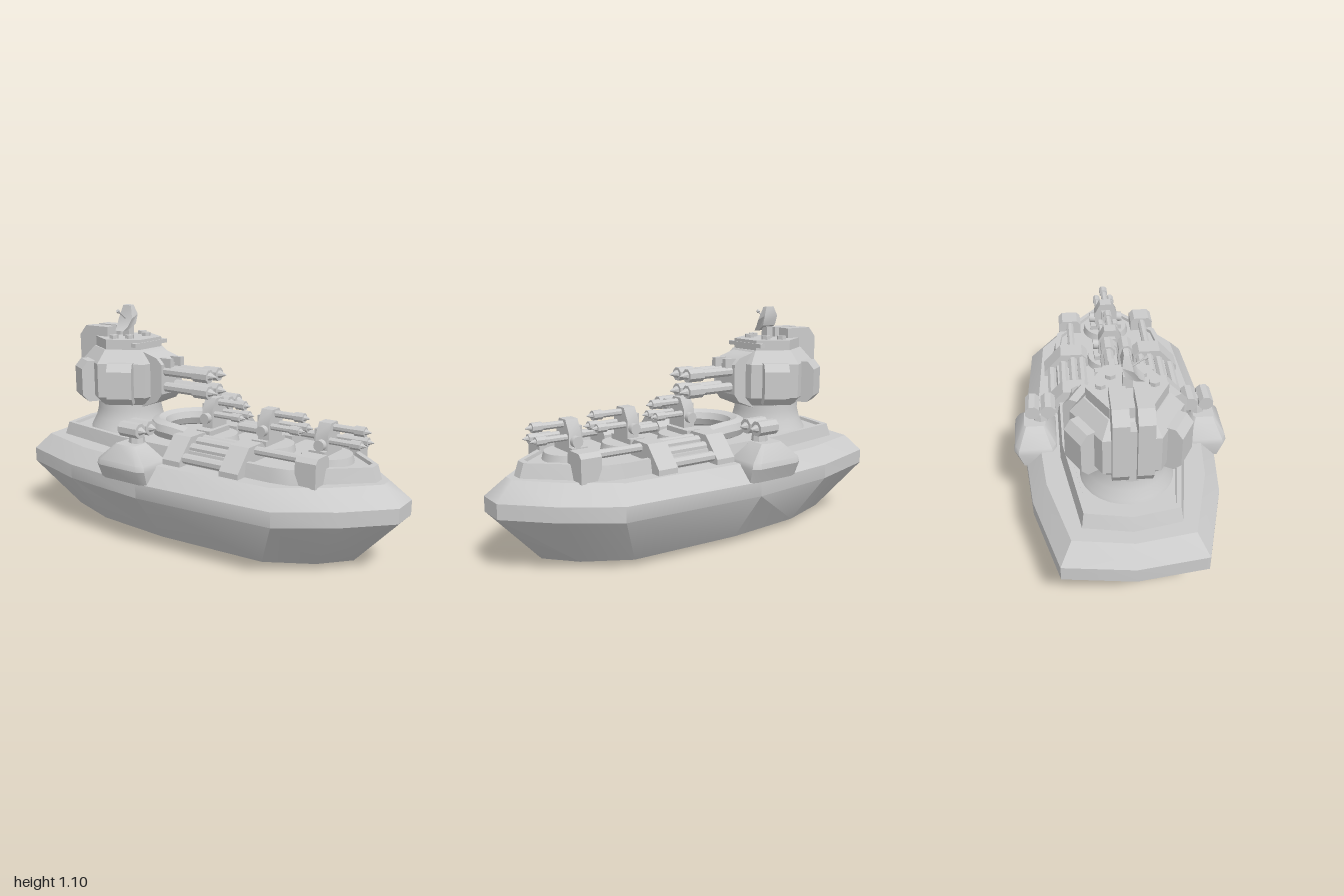
import * as THREE from 'three';
import { toCreasedNormals } from 'three/addons/utils/BufferGeometryUtils.js';

const mat = new THREE.MeshStandardMaterial({ color: 0xcccccc });

function add(parent, name, geo, x = 0, y = 0, z = 0) {
  const mesh = new THREE.Mesh(toCreasedNormals(geo, 0.6), mat);
  mesh.name = name;
  mesh.position.set(x, y, z);
  parent.add(mesh);
  return mesh;
}
const group = (parent, name, x = 0, y = 0, z = 0) => {
  const g = new THREE.Group();
  g.name = name;
  g.position.set(x, y, z);
  parent.add(g);
  return g;
};
const box = (p, name, w, h, d, x, y, z) => add(p, name, new THREE.BoxGeometry(w, h, d), x, y, z);
// cylinder along z; front radius first
const rodZ = (p, name, rf, rb, len, x, y, z, n = 8) =>
  add(p, name, new THREE.CylinderGeometry(rf, rb, len, n).rotateY(Math.PI / n).rotateX(Math.PI / 2), x, y, z);
// extrude an (a, b) profile, centred on its depth
function slab(points, depth) {
  const shape = new THREE.Shape(points.map(([a, b]) => new THREE.Vector2(a, b)));
  return new THREE.ExtrudeGeometry(shape, { depth, bevelEnabled: false }).translate(0, 0, -depth / 2);
}

// Stack mirrored half outlines [x, z] (back to front) at given heights and cap both ends.
// keel = [y, zMin, zMax] bends the bottom cap to a ridge.
function loft(layers, keel) {
  const out = [];
  const V = (x, y, z) => new THREE.Vector3(x, y, z);
  const tri = (a, b, c) => {
    const area = b.clone().sub(a).cross(c.clone().sub(a)).length();
    if (area > 1e-8) for (const v of [a, b, c]) out.push(v.x, v.y, v.z);
  };
  const quad = (a, b, c, d) => { tri(a, b, c); tri(a, c, d); };
  const loops = layers.map(([y, pts]) => [
    ...pts.map(([x, z]) => V(x, y, z)),
    ...[...pts].reverse().map(([x, z]) => V(-x, y, z)),
  ]);
  for (let k = 0; k + 1 < loops.length; k++) {
    const lo = loops[k], up = loops[k + 1], n = lo.length;
    for (let i = 0; i < n; i++) {
      const j = (i + 1) % n;
      quad(lo[i], up[i], up[j], lo[j]);
    }
  }
  const cap = ([y, pts], ridge, top) => {
    const mid = (z) => V(0, ridge[0], Math.min(ridge[2], Math.max(ridge[1], z)));
    const face = (a, b, c, d) => (top ? quad(a, b, c, d) : quad(d, c, b, a));
    const last = pts[pts.length - 1], first = pts[0];
    for (let i = 0; i + 1 < pts.length; i++) {
      const [x0, z0] = pts[i], [x1, z1] = pts[i + 1];
      face(V(x0, y, z0), mid(z0), mid(z1), V(x1, y, z1));
      face(V(-x1, y, z1), mid(z1), mid(z0), V(-x0, y, z0));
    }
    face(V(last[0], y, last[1]), mid(last[1]), mid(last[1]), V(-last[0], y, last[1]));
    const e = [V(last[0], y, last[1]), mid(last[1]), V(-last[0], y, last[1])];
    top ? tri(...e) : tri(...e.reverse());
    const s = [V(-first[0], y, first[1]), mid(first[1]), V(first[0], y, first[1])];
    top ? tri(...s) : tri(...s.reverse());
  };
  const end = layers[layers.length - 1];
  cap(layers[0], keel || [layers[0][0], -9, 9], false);
  cap(end, [end[0], -9, 9], true);
  const geo = new THREE.BufferGeometry();
  geo.setAttribute('position', new THREE.Float32BufferAttribute(out, 3));
  return geo;
}
const scaled = (pts, sx, sz) => pts.map(([x, z]) => [x * sx, z * sz]);

function addHull(ship) {
  const bottom = [[0, -0.8], [0.18, -0.77], [0.27, -0.5], [0.3, -0.1], [0.27, 0.45], [0.15, 0.66], [0.015, 0.78]];
  const wide = [[0, -1], [0.31, -0.96], [0.42, -0.58], [0.465, -0.12], [0.42, 0.58], [0.26, 0.81], [0.07, 1]];
  const deck = [[0, -0.93], [0.26, -0.89], [0.355, -0.55], [0.395, -0.12], [0.355, 0.54], [0.21, 0.74], [0.035, 0.91]];
  add(ship, 'hull', loft([[0.035, bottom], [0.275, wide], [0.345, wide], [0.425, deck]], [0.004, -0.55, 0.7]));
  // raised deck with a low rim around a recessed floor
  const raised = [[0, -0.87], [0.215, -0.83], [0.29, -0.38], [0.3, 0.5], [0.285, 0.6], [0.03, 0.88]];
  add(ship, 'raisedDeck', loft([
    [0.41, raised], [0.49, scaled(raised, 0.95, 0.97)],
    [0.49, scaled(raised, 0.87, 0.94)], [0.475, scaled(raised, 0.86, 0.935)],
  ]));
}

function addDeckFittings(ship) {
  const profile = [[0.12, 0.44], [0.35, 0.41], [0.35, 0.45], [0.26, 0.55], [0.15, 0.55], [0.12, 0.52]];
  for (const s of [1, -1]) {
    const side = group(ship, s > 0 ? 'leftDeckFittings' : 'rightDeckFittings');
    for (const z of [0, 0.32]) {
      const pts = profile.map(([x, y]) => [x * s, y]);
      add(side, 'deckBlock', slab(pts, 0.1), 0, 0, z);
    }
    add(side, 'bowBlock', slab([[-0.06, 0.42], [0.06, 0.42], [0.06, 0.53], [0.04, 0.55], [-0.04, 0.55], [-0.06, 0.53]], 0.1),
      s * 0.2, 0, 0.65);
    for (const [x, y] of [[0.31, 0.46], [0.25, 0.495], [0.2, 0.515], [0.155, 0.515]]) rodZ(side, 'pipe', 0.024, 0.024, 0.24, s * x, y, 0.16);
    rodZ(side, 'bowPipe', 0.02, 0.02, 0.26, s * 0.2, 0.525, 0.49);
  }
  // U-shaped duct behind the rear deck turret
  const path = new THREE.CurvePath();
  const arc = [];
  for (let i = 0; i <= 12; i++) {
    const a = (i / 12) * Math.PI;
    arc.push(new THREE.Vector3(0.185 * Math.cos(a), 0.535, -0.12 - 0.175 * Math.sin(a)));
  }
  const pts = [new THREE.Vector3(0.185, 0.525, -0.03), ...arc, new THREE.Vector3(-0.185, 0.525, -0.03)];
  for (let i = 0; i + 1 < pts.length; i++) path.add(new THREE.LineCurve3(pts[i], pts[i + 1]));
  add(ship, 'duct', new THREE.TubeGeometry(new THREE.CatmullRomCurve3(pts), 28, 0.045, 8));
}

// barrel with a fat muzzle and a pointed round
function addBarrel(p, r, len, x, y, z) {
  rodZ(p, 'barrel', r * 0.72, r * 0.72, len, x, y, z + len / 2);
  rodZ(p, 'muzzle', r, r, len * 0.3, x, y, z + len * 0.85);
  rodZ(p, 'round', 0.002, r * 0.6, r * 1.2, x, y, z + len + r * 0.6);
}

function addDeckTurret(ship, z, lift) {
  const t = group(ship, 'deckTurret', 0, 0, z);
  add(t, 'turntable', new THREE.CylinderGeometry(0.115, 0.125, 0.04, 24), 0, 0.49, 0);
  box(t, 'turretFoot', 0.17, 0.03, 0.08, 0, 0.52, -0.01);
  const g = group(t, 'gun', 0, lift, 0);
  add(g, 'gunBody', slab([[-0.06, 0.51], [0.06, 0.51], [0.06, 0.6], [0.03, 0.655], [-0.03, 0.655], [-0.06, 0.6]], 0.06));
  box(g, 'gunBack', 0.05, 0.06, 0.03, 0, 0.59, -0.04);
  for (const s of [1, -1]) {
    add(g, 'pivot', new THREE.CylinderGeometry(0.026, 0.026, 0.03, 12).rotateZ(Math.PI / 2), s * 0.073, 0.56, 0);
    addBarrel(g, 0.021, 0.16, s * 0.038, 0.578, 0.02);
  }
  addBarrel(g, 0.023, 0.16, 0, 0.632, 0.02);
}

function addSponson(ship, s) {
  const g = group(ship, s > 0 ? 'leftSponson' : 'rightSponson', s * 0.4, 0, -0.195);
  const plan = [[0.08, -0.145], [0.1, -0.11], [0.1, 0.11], [0.08, 0.145]];
  add(g, 'sponsonBase', loft([[0.345, scaled(plan, 0.7, 0.95)], [0.415, plan], [0.44, scaled(plan, 0.95, 0.95)], [0.515, scaled(plan, 0.5, 0.4)]]));
  const gun = group(g, 'sponsonGun', -s * 0.03, 0, 0.01);
  add(gun, 'post', new THREE.CylinderGeometry(0.035, 0.04, 0.04, 8), 0, 0.53, 0);
  box(gun, 'yoke', 0.04, 0.04, 0.05, 0, 0.575, 0);
  for (const k of [1, -1]) {
    rodZ(gun, 'gunPod', 0.036, 0.036, 0.11, k * 0.037, 0.582, 0);
    rodZ(gun, 'podNose', 0.004, 0.02, 0.03, k * 0.037, 0.582, 0.07);
  }
}

function addTower(ship) {
  const t = group(ship, 'tower', 0, 0, -0.55);
  const neck = [[0.21, 0.465], [0.2, 0.49], [0.178, 0.53], [0.166, 0.58], [0.165, 0.64]].map(([r, y]) => new THREE.Vector2(r, y));
  add(t, 'neck', new THREE.LatheGeometry(neck, 28));
  // six-sided head with corners to the sides
  const head = [[0, 0.615], [0.19, 0.615], [0.24, 0.66], [0.24, 0.83], [0.18, 0.895], [0.172, 0.895], [0.172, 0.945], [0, 0.945]]
    .map(([r, y]) => new THREE.Vector2(r, y));
  add(t, 'head', new THREE.LatheGeometry(head, 6, Math.PI / 6 + Math.PI / 3));
  box(t, 'browPlate', 0.25, 0.02, 0.03, 0, 0.92, 0.14);
  // armour pods on the four slanted faces
  const pod = [[0.17, 0.63], [0.24, 0.63], [0.272, 0.665], [0.272, 0.8], [0.24, 0.838], [0.17, 0.838]];
  for (const a of [30, 150, 210, 330]) add(t, 'sidePod', slab(pod, 0.125)).rotation.y = (a * Math.PI) / 180;
  // tall twin slabs on the back
  const fin = [[0.07, 0.68], [0.11, 0.64], [0.23, 0.64], [0.265, 0.69], [0.265, 0.945], [0.22, 0.995], [0.07, 0.995]];
  for (const s of [1, -1]) add(t, 'backSlab', slab(fin, 0.068).rotateY(Math.PI / 2), s * 0.05, 0, 0);
  box(t, 'backSpine', 0.05, 0.26, 0.06, 0, 0.76, -0.2);
  // main gun mount and four barrels
  const mount = [[-0.15, 0.6], [-0.25, 0.64], [-0.28, 0.68], [-0.28, 0.83], [-0.25, 0.86], [-0.15, 0.89]];
  add(t, 'gunMount', slab(mount, 0.155).rotateY(Math.PI / 2));
  for (const s of [1, -1]) {
    for (const y of [0.715, 0.795]) addBarrel(t, 0.034, 0.29, s * 0.041, y, 0.26);
    box(t, 'gunRib', 0.026, 0.05, 0.12, s * 0.041, 0.835, 0.26);
    for (const [x, z] of [[0.11, 0], [0.065, 0.065]]) add(t, 'roofStud', new THREE.CylinderGeometry(0.024, 0.024, 0.02, 6), s * x, 0.953, z);
  }
  // dish on its post
  box(t, 'dishPost', 0.04, 0.06, 0.04, 0, 0.972, 0);
  const dish = slab([[-0.07, 0.978], [-0.035, 0.982], [0.012, 1.01], [0.027, 1.06], [0.018, 1.108], [-0.005, 1.105], [-0.02, 1.04], [-0.045, 1.0]], 0.09);
  const p = dish.attributes.position;
  for (let i = 0; i < p.count; i++) {
    const d = Math.abs(p.getY(i) - 1.04) / 0.07;
    p.setZ(i, p.getZ(i) * (1 - 0.5 * d * d));
  }
  add(t, 'dish', dish);
  const feed = add(t, 'dishFeed', new THREE.CylinderGeometry(0.004, 0.004, 0.075, 6), -0.045, 1.058, 0);
  feed.rotation.z = 0.95;
  add(t, 'feedTip', new THREE.CylinderGeometry(0.009, 0.009, 0.012, 6), -0.074, 1.078, 0).rotation.z = 0.95;
}

export function createModel() {
  const ship = new THREE.Group();
  ship.name = 'gunship';
  addHull(ship);
  addDeckFittings(ship);
  [[0.62, 0], [0.32, 0.02], [0, 0.035]].forEach(([z, lift]) => addDeckTurret(ship, z, lift));
  for (const s of [1, -1]) addSponson(ship, s);
  addTower(ship);
  return ship;
}
